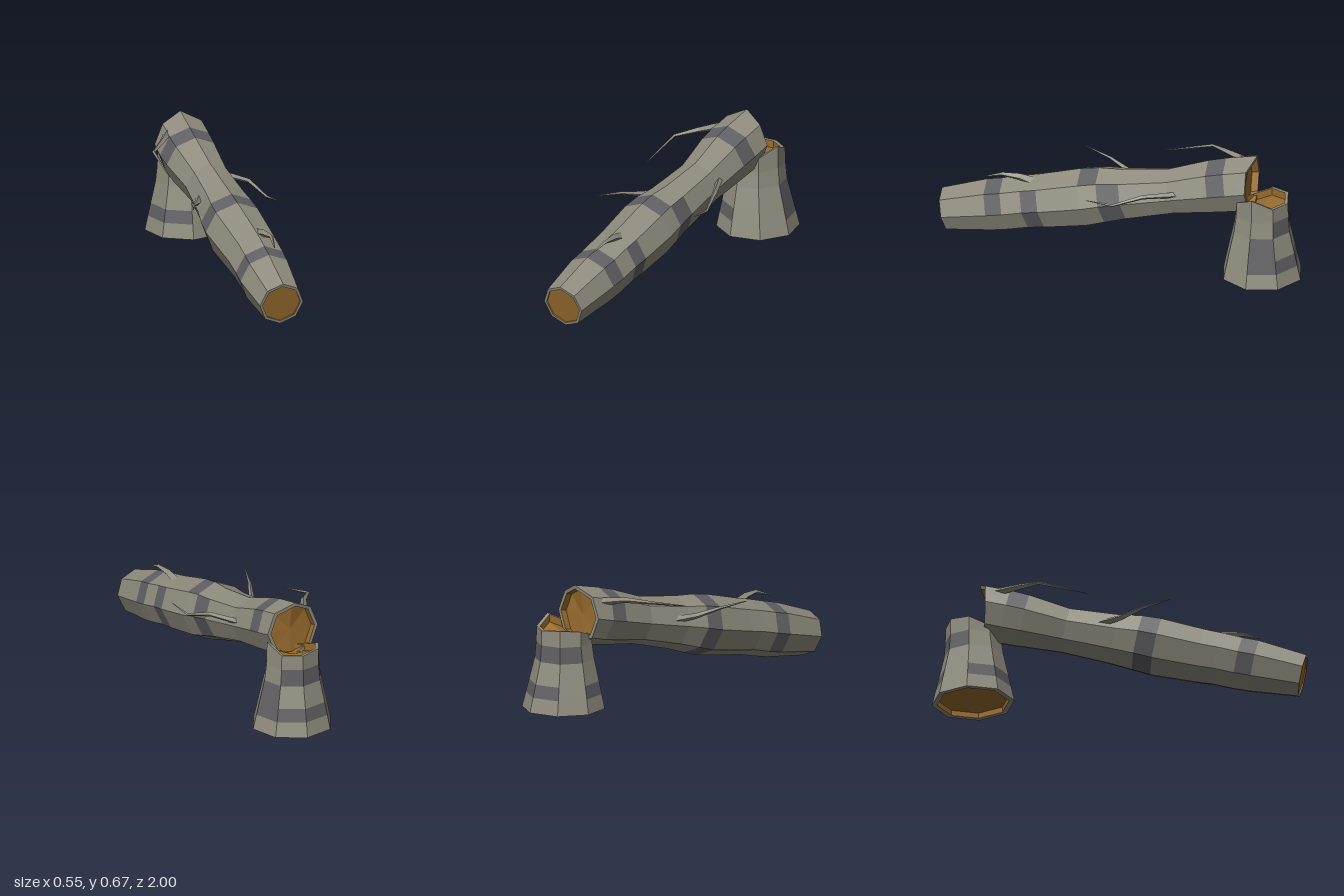
import * as THREE from 'three';

const mat = (color) => new THREE.MeshStandardMaterial({ color, flatShading: true, side: THREE.DoubleSide });
const BARK = mat(0x8f8c7e), BAND = mat(0x606064), WOOD = mat(0x9a6d2e);
const V = (x, y, z) => new THREE.Vector3(x, y, z);

// Polygon ring around c, facing dir; jag shifts each corner along dir
function ring(c, dir, r, n = 8, phase = 0, jag = []) {
  const d = dir.clone().normalize();
  const u = Math.abs(d.y) > 0.99 ? V(1, 0, 0) : V(0, 1, 0).cross(d).normalize();
  const v = d.clone().cross(u);
  return Array.from({ length: n }, (_, k) => {
    const a = phase + (k / n) * Math.PI * 2;
    return c.clone().addScaledVector(u, r * Math.sin(a)).addScaledVector(v, r * Math.cos(a))
      .addScaledVector(d, jag[k] || 0);
  });
}

// Skin a list of rings; pick(strip, face) chooses the material
function loft(name, rings, pick) {
  const group = new THREE.Group();
  group.name = name;
  const parts = new Map();
  for (let i = 0; i < rings.length - 1; i++) {
    const f = rings[i], b = rings[i + 1], n = f.length;
    for (let k = 0; k < n; k++) {
      const j = (k + 1) % n, m = pick(i, k);
      if (!parts.has(m)) parts.set(m, []);
      for (const p of [f[k], f[j], b[j], f[k], b[j], b[k]]) parts.get(m).push(p);
    }
  }
  const names = new Map([[BARK, 'Bark'], [BAND, 'DarkBands'], [WOOD, 'CutWood']]);
  for (const [m, pts] of parts) {
    const g = new THREE.BufferGeometry().setFromPoints(pts);
    g.computeVertexNormals();
    const mesh = new THREE.Mesh(g, m);
    mesh.name = name + names.get(m);
    group.add(mesh);
  }
  return group;
}

// Rings of a sawn end, from the centre of the recessed wood out to the bark rim
function sawnEnd(rim, inward, depth) {
  const c = rim.reduce((s, p) => s.add(p), V(0, 0, 0)).divideScalar(rim.length);
  const inner = rim.map((p) => p.clone().lerp(c, 0.13));
  const floor = inner.map((p) => p.clone().addScaledVector(inward, depth));
  const mid = c.clone().addScaledVector(inward, depth);
  return [rim.map(() => mid), floor, inner];
}

// Bark tube closed by a sawn end on both sides; bands maps a strip to its dark faces
function trunk(name, body, dir, depthA, depthB, bands) {
  const d = dir.clone().normalize();
  const first = sawnEnd(body[0], d.clone().negate(), depthA);
  const last = sawnEnd(body[body.length - 1], d, depthB).reverse();
  const rings = [...first, ...body, ...last];
  return loft(name, rings, (i, k) => {
    if (i < 2 || i >= rings.length - 3) return WOOD;
    return bands[i - 3]?.includes(k) ? BAND : BARK;
  });
}

// Thin tapering twig along a bent path
function branch(points, r0) {
  const p = points.map((q) => V(...q)), last = p.length - 1;
  const rings = p.map((c, i) => {
    const dir = p[Math.max(0, i - 1)].clone().sub(p[Math.min(last, i + 1)]);
    return ring(c, dir, r0 * (1 - 0.9 * (i / last)), 4);
  });
  return loft('branch', rings, () => BARK);
}

export function createModel() {
  const model = new THREE.Group();
  model.name = 'fallenTree';

  // Fallen log, front to back: x, y, z, radius
  const axis = V(0.08, -0.38, 1.665);
  const sections = [
    [0.05, 0.12, 0.975, 0.121], [0.04, 0.18, 0.72, 0.148], [0.04, 0.2, 0.63, 0.149],
    [0.035, 0.228, 0.52, 0.15], [0.03, 0.245, 0.43, 0.154], [0.01, 0.295, 0.2, 0.165],
    [0.005, 0.32, 0.1, 0.158], [0.005, 0.345, -0.02, 0.143], [-0.005, 0.4, -0.28, 0.128],
    [-0.025, 0.455, -0.5, 0.15], [-0.03, 0.478, -0.6, 0.155], [-0.03, 0.5, -0.69, 0.153],
  ];
  const tornEdge = [-0.085, -0.04, -0.02, 0, 0, 0, -0.02, -0.045];
  const logRings = sections.map(([x, y, z, r], i) =>
    ring(V(x, y, z), axis, r, 8, 0, i === sections.length - 1 ? tornEdge : []));
  model.add(trunk('log', logRings, axis, 0.008, 0.04, {
    1: [0, 1, 5, 6, 7], 3: [1, 2, 3], 5: [0, 4, 5, 6, 7], 6: [1, 2, 3], 9: [0, 1, 6, 7],
  }));

  // Stump, top to bottom: x, y, z, radius
  const up = V(0, 1, 0);
  const splinters = [0, 0, 0.05, 0, -0.04, -0.04, 0, 0.01];
  const stumpRings = [
    [0.005, 0.44, -0.78, 0.148], [0.005, 0.36, -0.78, 0.15], [0.005, 0.27, -0.777, 0.16],
    [0.007, 0.15, -0.778, 0.188], [0.008, 0.08, -0.779, 0.204], [0.01, 0, -0.78, 0.222],
  ].map(([x, y, z, r], i) => ring(V(x, y, z), up, r, 8, 0.08, i ? [] : splinters));
  model.add(trunk('stump', stumpRings, up, 0.04, 0.03, {
    1: [0, 6, 7], 2: [1], 3: [0, 1, 4, 5, 7],
  }));

  // Bare branches
  const twigs = [
    [[[-0.13, 0.58, -0.64], [-0.19, 0.58, -0.52], [-0.27, 0.562, -0.41], [-0.253, 0.5, -0.15]], 0.022],
    [[[-0.09, 0.385, -0.14], [-0.15, 0.4, 0.02], [-0.2, 0.432, 0.14], [-0.245, 0.455, 0.29]], 0.022],
    [[[0.08, 0.43, -0.36], [0.19, 0.435, -0.17], [0.247, 0.388, -0.02], [0.27, 0.407, 0.12]], 0.018],
    [[[0.055, 0.355, 0.48], [0.07, 0.382, 0.56], [0.085, 0.39, 0.65], [0.075, 0.358, 0.745]], 0.028],
  ];
  for (const [path, r] of twigs) model.add(branch(path, r));

  return model;
}
